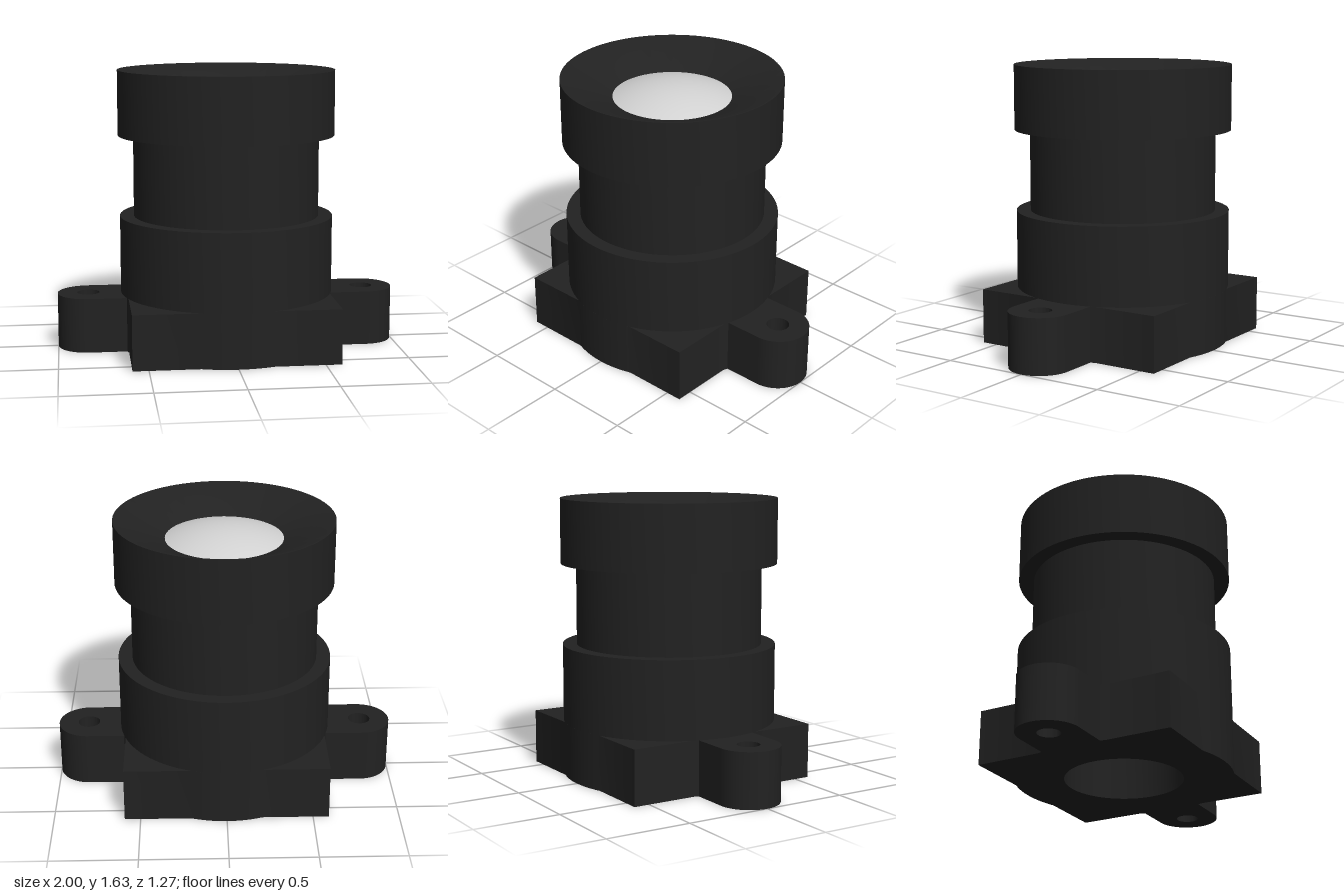
import * as THREE from 'three';
import { toCreasedNormals } from 'three/addons/utils/BufferGeometryUtils.js';

const BORE = 0.34, BODY = 0.627, HALF = 0.592, EAR = 0.18, EAR_X = 0.82, BASE_H = 0.32;

export function createModel() {
  const model = new THREE.Group();
  model.name = 'lensMount';
  const black = new THREE.MeshStandardMaterial({ color: 0x222222 });
  black.name = 'black plastic';
  const glass = new THREE.MeshStandardMaterial({ color: 0xd2d2d2 });
  glass.name = 'pale glass';

  const add = (name, geometry, material) => {
    const mesh = new THREE.Mesh(toCreasedNormals(geometry, 0.5), material);
    mesh.name = name;
    model.add(mesh);
  };
  // Closed ring profile, outside going up and bore going down
  const turned = (name, points, material = black) =>
    add(name, new THREE.LatheGeometry(points.map(p => new THREE.Vector2(...p)), 96), material);

  // Base plate: square, round body bulging through its sides, and two ears
  const bulge = Math.acos(HALF / BODY);
  const earAngle = Math.asin(EAR / BODY);
  const outline = new THREE.Shape();
  for (let i = 0; i < 4; i++) {
    const a = i * Math.PI / 2;
    if (i % 2 === 0) {
      const s = i === 0 ? 1 : -1;
      outline.absarc(0, 0, BODY, a - bulge, a - earAngle, false);
      outline.absarc(s * EAR_X, 0, EAR, a - Math.PI / 2, a + Math.PI / 2, false);
      outline.absarc(0, 0, BODY, a + earAngle, a + bulge, false);
    } else {
      outline.absarc(0, 0, BODY, a - bulge, a + bulge, false);
    }
    // Square corner that follows this side
    const c = a + Math.PI / 4;
    outline.lineTo(Math.SQRT2 * HALF * Math.cos(c), Math.SQRT2 * HALF * Math.sin(c));
  }
  // Central bore and screw holes
  for (const [x, r] of [[0, BORE], [EAR_X, 0.065], [-EAR_X, 0.065]]) {
    const hole = new THREE.Path();
    hole.absarc(x, 0, r, 0, Math.PI * 2, true);
    outline.holes.push(hole);
  }
  const base = new THREE.ExtrudeGeometry(outline, { depth: BASE_H, bevelEnabled: false, curveSegments: 48 });
  base.rotateX(-Math.PI / 2);
  add('mountingBase', base, black);

  // Stepped barrel
  for (const [name, r, y0, y1] of [['lowerBarrel', BODY, BASE_H, 0.775], ['threadedNeck', 0.545, 0.775, 1.25]]) {
    turned(name, [[BORE, y0], [r, y0], [r, y1], [BORE, y1], [BORE, y0]]);
  }

  // Head with a conical recess down to the lens
  turned('lensHead', [[BORE, 1.25], [0.635, 1.25], [0.635, 1.63], [0.625, 1.63], [BORE, 1.51], [BORE, 1.25]]);

  // Domed lens with a flat back
  const dome = [[0, 1.4], [BORE, 1.4]];
  for (let i = 0; i <= 12; i++) {
    const t = 1 - i / 12;
    dome.push([BORE * t, 1.51 + 0.07 * (1 - t * t)]);
  }
  turned('lens', dome, glass);

  return model;
}
